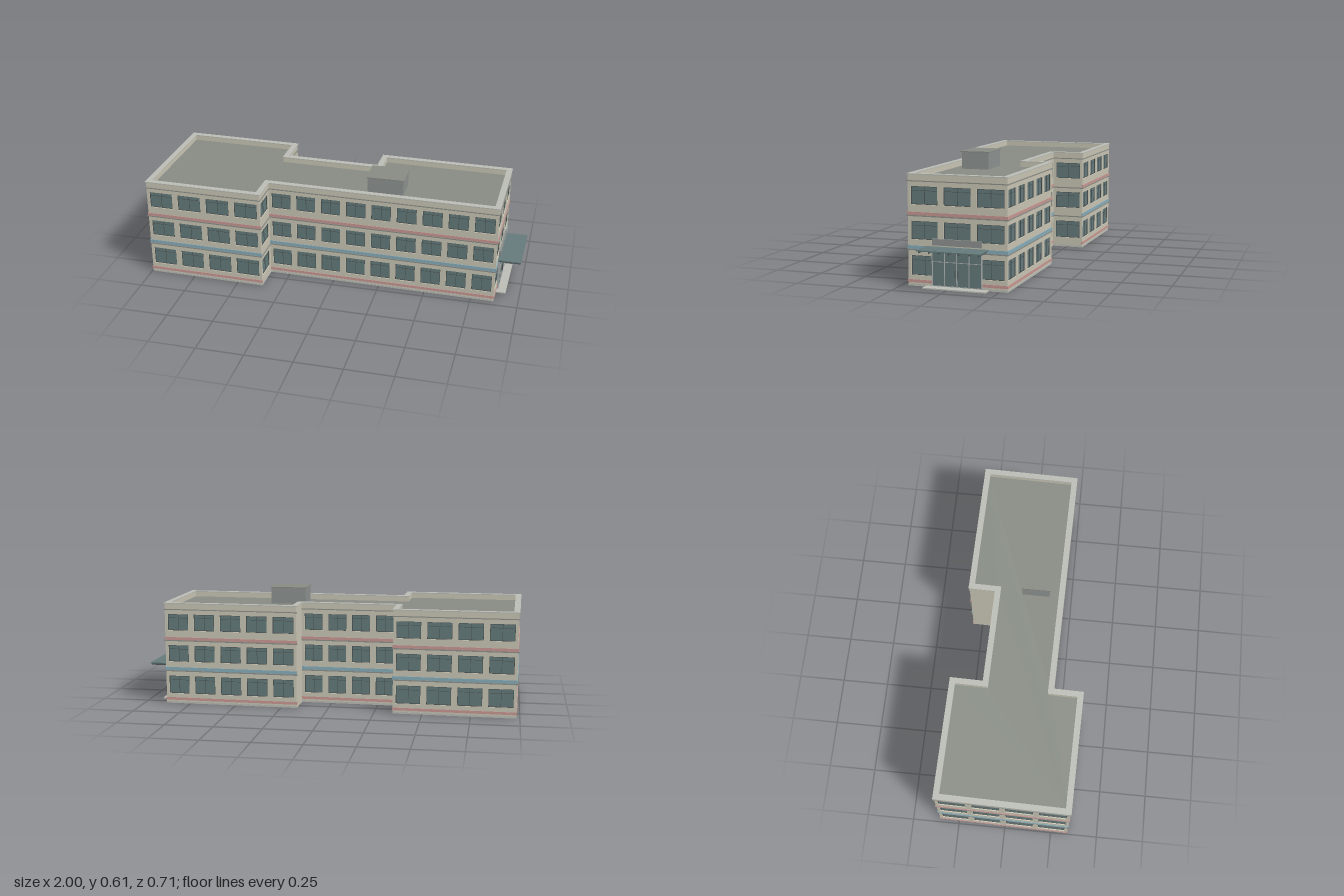
import * as THREE from 'three';
import { mergeGeometries } from 'three/addons/utils/BufferGeometryUtils.js';

const mat = (color) => new THREE.MeshStandardMaterial({ color, flatShading: true });
const M = {
  wall: mat(0xc8c5b3), glass: mat(0x647a7b), frame: mat(0x4b5353), trim: mat(0x8e8f89),
  pink: mat(0xc69692), blue: mat(0x86acba), roof: mat(0x868b83), grey: mat(0x8c918f),
  pale: mat(0xb9bbb4), metal: mat(0xa9adab),
};

// Footprint corners [x, z], then for each wall from that corner: window columns and coloured bands
const PLAN = [
  [-0.988, 0.354, 4, true], [-0.354, 0.354, 1, false], [-0.354, 0.2, 9, true],
  [0.876, 0.2, 3, true], [0.876, -0.305, 5, true], [0.16, -0.305, 0, false],
  [0.16, -0.163, 4, true], [-0.354, -0.163, 1, false], [-0.354, -0.335, 4, true],
  [-0.988, -0.335, 4, true],
];
const FLOORS = [[0.054, 0.15], [0.228, 0.317], [0.397, 0.485]];
const WALL_H = 0.541, WALL_T = 0.012, PITCH_GAP = 0.031;

function boxGeo(x0, x1, y0, y1, z0, z1) {
  return new THREE.BoxGeometry(x1 - x0, y1 - y0, z1 - z0)
    .translate((x0 + x1) / 2, (y0 + y1) / 2, (z0 + z1) / 2);
}

function add(parent, name, geometry, material) {
  const mesh = new THREE.Mesh(geometry, material);
  mesh.name = name;
  parent.add(mesh);
  return mesh;
}

function rect(Type, x0, x1, y0, y1) {
  return new Type([[x0, y0], [x1, y0], [x1, y1], [x0, y1]].map(([x, y]) => new THREE.Vector2(x, y)));
}

// Footprint pushed outward by d, as shape points (shape y = -z)
function offsetPlan(d) {
  const n = PLAN.length;
  const normal = (i) => {
    const a = PLAN[i % n], b = PLAN[(i + 1) % n];
    return [-Math.sign(b[1] - a[1]), Math.sign(b[0] - a[0])];
  };
  return PLAN.map(([x, z], i) => {
    const p = normal(i + n - 1), q = normal(i);
    return new THREE.Vector2(x + d * (p[0] + q[0]), -(z + d * (p[1] + q[1])));
  });
}

// Slab or ring following the footprint
function planSlab(outer, inner, y0, y1) {
  const shape = new THREE.Shape(offsetPlan(outer));
  if (inner !== null) shape.holes.push(new THREE.Path(offsetPlan(inner)));
  return new THREE.ExtrudeGeometry(shape, { depth: y1 - y0, bevelEnabled: false })
    .rotateX(-Math.PI / 2).translate(0, y0, 0);
}

// One facade: local x runs along the wall, local z points outward
function makeWall(a, b) {
  const [ax, az, columns, bands] = a;
  const dx = b[0] - ax, dz = b[1] - az, len = Math.hypot(dx, dz);
  const wall = new THREE.Group();
  wall.name = 'facade';
  wall.position.set(ax, 0, az);
  wall.rotation.y = Math.atan2(-dz, dx);

  const shape = rect(THREE.Shape, 0, len, 0, WALL_H);
  const frames = [], panes = [];
  const pitch = len / Math.max(columns, 1), half = (pitch - PITCH_GAP) / 2, t = 0.003;
  for (let c = 0; c < columns; c++) {
    const mid = (c + 0.5) * pitch, x0 = mid - half, x1 = mid + half;
    for (const [y0, y1] of FLOORS) {
      shape.holes.push(rect(THREE.Path, x0, x1, y0, y1));
      panes.push(boxGeo(x0, x1, y0, y1, -0.013, -0.009));
      const bar = y0 + (y1 - y0) * 0.76;
      frames.push(
        boxGeo(x0, x0 + t, y0, y1, -0.01, -0.005), boxGeo(x1 - t, x1, y0, y1, -0.01, -0.005),
        boxGeo(x0, x1, y0, y0 + t, -0.01, -0.005), boxGeo(x0, x1, y1 - t, y1, -0.01, -0.005),
        boxGeo(mid - 0.001, mid + 0.001, y0, y1, -0.01, -0.006),
        boxGeo(x0, x1, bar - 0.001, bar + 0.001, -0.01, -0.006));
    }
  }
  add(wall, 'wallPanel', new THREE.ExtrudeGeometry(shape, { depth: WALL_T, bevelEnabled: false })
    .translate(0, 0, -WALL_T), M.wall);
  if (columns) {
    add(wall, 'windowPanes', mergeGeometries(panes), M.glass);
    add(wall, 'windowFrames', mergeGeometries(frames), M.frame);
    const strip = (y0, y1, p) => boxGeo(-p, len + p, y0, y1, -0.004, p);
    add(wall, 'ledges', mergeGeometries([
      strip(0.175, 0.181, 0.005), strip(0.34, 0.346, 0.005), strip(0.508, 0.513, 0.005)]), M.trim);
    add(wall, 'plinth', strip(0, 0.01, 0.001), M.pale);
    if (bands) {
      add(wall, 'pinkBands', mergeGeometries([
        strip(0.018, 0.032, 0.003), strip(0.346, 0.361, 0.003)]), M.pink);
      add(wall, 'blueBand', strip(0.181, 0.198, 0.003), M.blue);
    }
  }
  return wall;
}

// Glazed entrance with sign board, canopy and step on the end wall
function makeEntrance() {
  const g = new THREE.Group();
  g.name = 'entrance';
  g.position.set(0.876, 0, -0.053);
  const w = 0.125;
  add(g, 'entranceGlass', boxGeo(-0.005, 0.008, 0.008, 0.193, -w, w), M.glass);
  const bars = [];
  for (let i = 0; i <= 4; i++) {
    const z = -w + (i * w) / 2;
    bars.push(boxGeo(0, 0.011, 0.008, 0.193, z - 0.002, z + 0.002));
  }
  for (const y of [0.01, 0.127, 0.19]) bars.push(boxGeo(0, 0.01, y - 0.0015, y + 0.0015, -w, w));
  add(g, 'entranceFrame', mergeGeometries(bars), M.metal);
  add(g, 'doorHandles', mergeGeometries([-0.008, 0.008].map((z) =>
    boxGeo(0.008, 0.014, 0.055, 0.09, z - 0.001, z + 0.001))), M.frame);
  add(g, 'signBoard', boxGeo(0, 0.01, 0.206, 0.237, -w, w), M.grey);
  add(g, 'canopy', boxGeo(0, 0.121, 0.194, 0.199, -0.16, 0.16), M.glass);
  const beams = [];
  for (let i = 0; i < 7; i++) {
    const z = -0.15 + i * 0.05;
    beams.push(boxGeo(0, 0.117, 0.185, 0.194, z - 0.0015, z + 0.0015));
  }
  add(g, 'canopyBeams', mergeGeometries(beams), M.frame);
  add(g, 'entranceStep', boxGeo(0, 0.052, 0, 0.006, -0.16, 0.16), M.pale);
  return g;
}

export function createModel() {
  const model = new THREE.Group();
  model.name = 'officeBuilding';

  // Main block, turned very slightly
  const building = new THREE.Group();
  building.name = 'building';
  building.rotation.y = -0.0175;
  model.add(building);
  PLAN.forEach((p, i) => building.add(makeWall(p, PLAN[(i + 1) % PLAN.length])));
  add(building, 'roofAndFloor', planSlab(-0.0125, null, 0, 0.515), M.roof);
  add(building, 'parapet', planSlab(-0.002, -0.024, 0.514, WALL_H), M.wall);
  add(building, 'parapetCap', planSlab(0.005, -0.026, WALL_H, 0.546), M.pale);
  building.add(makeEntrance());

  // Rooftop plant room
  add(model, 'roofHut', boxGeo(0.167, 0.358, 0.51, 0.602, -0.018, 0.128), M.grey);
  add(model, 'roofHutCap', boxGeo(0.162, 0.363, 0.602, 0.607, -0.023, 0.133), M.roof);
  return model;
}
